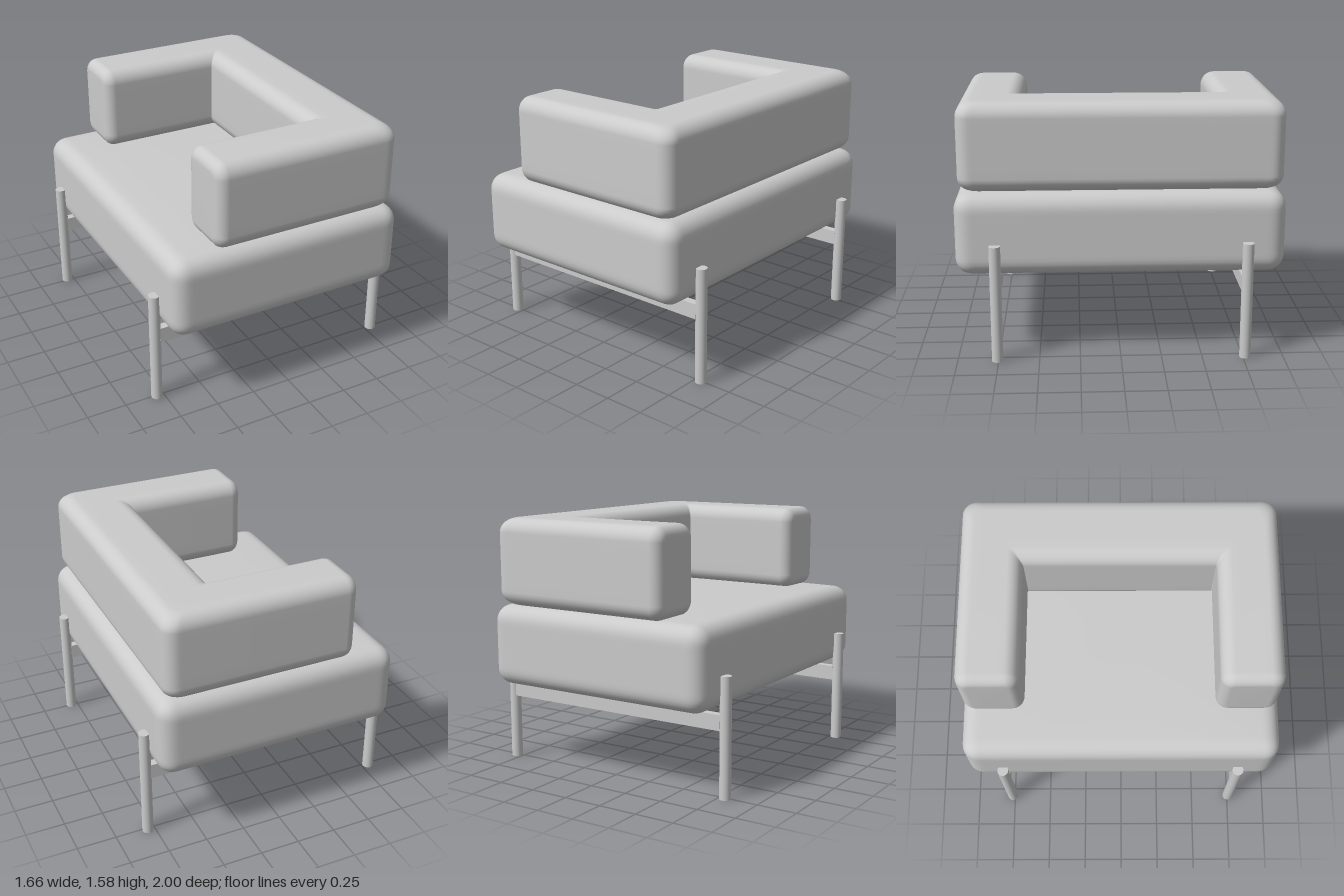
import * as THREE from 'three';
import { mergeVertices } from 'three/addons/utils/BufferGeometryUtils.js';

const grey = new THREE.MeshStandardMaterial({ color: 0xcccccc });

function add(group, name, geometry, x = 0, y = 0, z = 0) {
  const mesh = new THREE.Mesh(geometry, grey);
  mesh.name = name;
  mesh.position.set(x, y, z);
  group.add(mesh);
}

// Soft box: rounded edges and a slightly crowned top
function cushionGeometry(w, h, d, r, crown) {
  const g = new THREE.BoxGeometry(w, h, d, 62, 20, 80);
  g.deleteAttribute('uv');
  g.deleteAttribute('normal');
  const pos = g.attributes.position;
  const lim = new THREE.Vector3(w / 2 - r, h / 2 - r, d / 2 - r);
  const low = lim.clone().negate();
  const p = new THREE.Vector3(), core = new THREE.Vector3();
  for (let i = 0; i < pos.count; i++) {
    p.fromBufferAttribute(pos, i);
    core.copy(p).clamp(low, lim);
    p.sub(core).setLength(r).add(core);
    if (p.y > 0) {
      const nx = (2 * p.x) / w, nz = (2 * p.z) / d;
      p.y += crown * (1 - nx ** 4) * (1 - nz ** 4) * (2 * p.y) / h;
    }
    pos.setXYZ(i, p.x, p.y, p.z);
  }
  const merged = mergeVertices(g);
  merged.computeVertexNormals();
  return merged;
}

// Rounded cross-section as [outward, up] pairs, shrunk by an inset
function section(hw, hh, r, inset) {
  const rr = Math.max(r - inset, 0.004);
  const a = hw - inset - rr, b = hh - inset - rr;
  const corners = [[1, 1], [1, -1], [-1, -1], [-1, 1]].map(([so, su], q) =>
    Array.from({ length: 9 }, (_, k) => {
      const t = (q + k / 8) * Math.PI / 2;
      return [so * a + rr * Math.sin(t), su * b + rr * Math.cos(t)];
    }));
  const pts = [];
  corners.forEach((c, q) => {
    pts.push(...c);
    const from = c[8], to = corners[(q + 1) % 4][0];
    for (let k = 1; k < 6; k++) {
      pts.push([0, 1].map(i => from[i] + (to[i] - from[i]) * k / 6));
    }
  });
  return pts;
}

// U-shaped bolster: section swept along arm, back and arm with mitred corners
function bolsterGeometry() {
  const hw = 0.2, hh = 0.272, yMid = 1.308, r = 0.09, endX = -0.485, endR = 0.07;
  const stations = [];
  // each station maps u (0 outer, 1 inner) to [x, z]
  const backX = u => 0.735 - 0.43 * u;
  const armZ = u => 0.98 - 0.385 * u;
  const bend = u => 0.004 + 0.08 * (1 - u);
  for (let k = 0; k <= 6; k++) {
    const t = k / 6 * Math.PI / 2;
    const x = endX + endR * (1 - Math.cos(t));
    stations.push({ inset: endR * (1 - Math.sin(t)), at: u => [x, armZ(u)] });
  }
  for (const gap of [0.4, 0.2, 0.08, 0.02]) {
    stations.push({ inset: 0, at: u => [backX(u) - bend(u) - gap, armZ(u)] });
  }
  for (let k = 0; k <= 8; k++) {
    const t = k / 8 * Math.PI / 2;
    stations.push({
      inset: 0,
      at: u => [backX(u) - bend(u) * (1 - Math.sin(t)), armZ(u) - bend(u) * (1 - Math.cos(t))],
    });
  }
  for (const gap of [0.02, 0.08, 0.2, 0.4]) {
    stations.push({ inset: 0, at: u => [backX(u), armZ(u) - bend(u) - gap] });
  }
  // mirror for the other half
  const mirrored = stations.slice().reverse().map(s => ({
    inset: s.inset,
    at: u => { const [x, z] = s.at(u); return [x, -z]; },
  }));
  const all = [...stations, ...mirrored];

  const verts = [], index = [];
  let n = 0;
  for (const s of all) {
    const pts = section(hw, hh, r, s.inset);
    n = pts.length;
    for (const [o, up] of pts) {
      const [x, z] = s.at((hw - o) / (2 * hw));
      verts.push(x, yMid + up, z);
    }
  }
  const last = (all.length - 1) * n;
  const capA = verts.length / 3, capB = capA + 1;
  verts.push(endX, yMid, armZ(0.5), endX, yMid, -armZ(0.5));
  for (let j = 0; j < n; j++) {
    const m = (j + 1) % n;
    for (let s = 0; s < all.length - 1; s++) {
      const a = s * n + j, b = s * n + m;
      index.push(a, b, b + n, a, b + n, a + n);
    }
    index.push(capA, m, j, capB, last + j, last + m);
  }
  const g = new THREE.BufferGeometry();
  g.setAttribute('position', new THREE.Float32BufferAttribute(verts, 3));
  g.setIndex(index);
  g.computeVertexNormals();
  return g;
}

export function createModel() {
  const chair = new THREE.Group();
  chair.name = 'armchair';

  add(chair, 'seatCushion', cushionGeometry(1.55, 0.505, 2, 0.1, 0.018), 0, 0.7825, 0);
  add(chair, 'backAndArmBolster', bolsterGeometry(), 0, 0, -0.005);

  // Frame: four round legs joined by two side rails
  const leg = new THREE.CylinderGeometry(0.035, 0.035, 0.735, 32);
  const rail = new THREE.BoxGeometry(1.54, 0.095, 0.05);
  for (const [side, sz] of [['left', -1], ['right', 1]]) {
    const z = sz * 0.76 - 0.004;
    add(chair, side + 'Rail', rail, 0, 0.4575, z);
    add(chair, side + 'FrontLeg', leg, -0.795, 0.3675, z);
    add(chair, side + 'BackLeg', leg, 0.795, 0.3675, z);
  }
  return chair;
}
